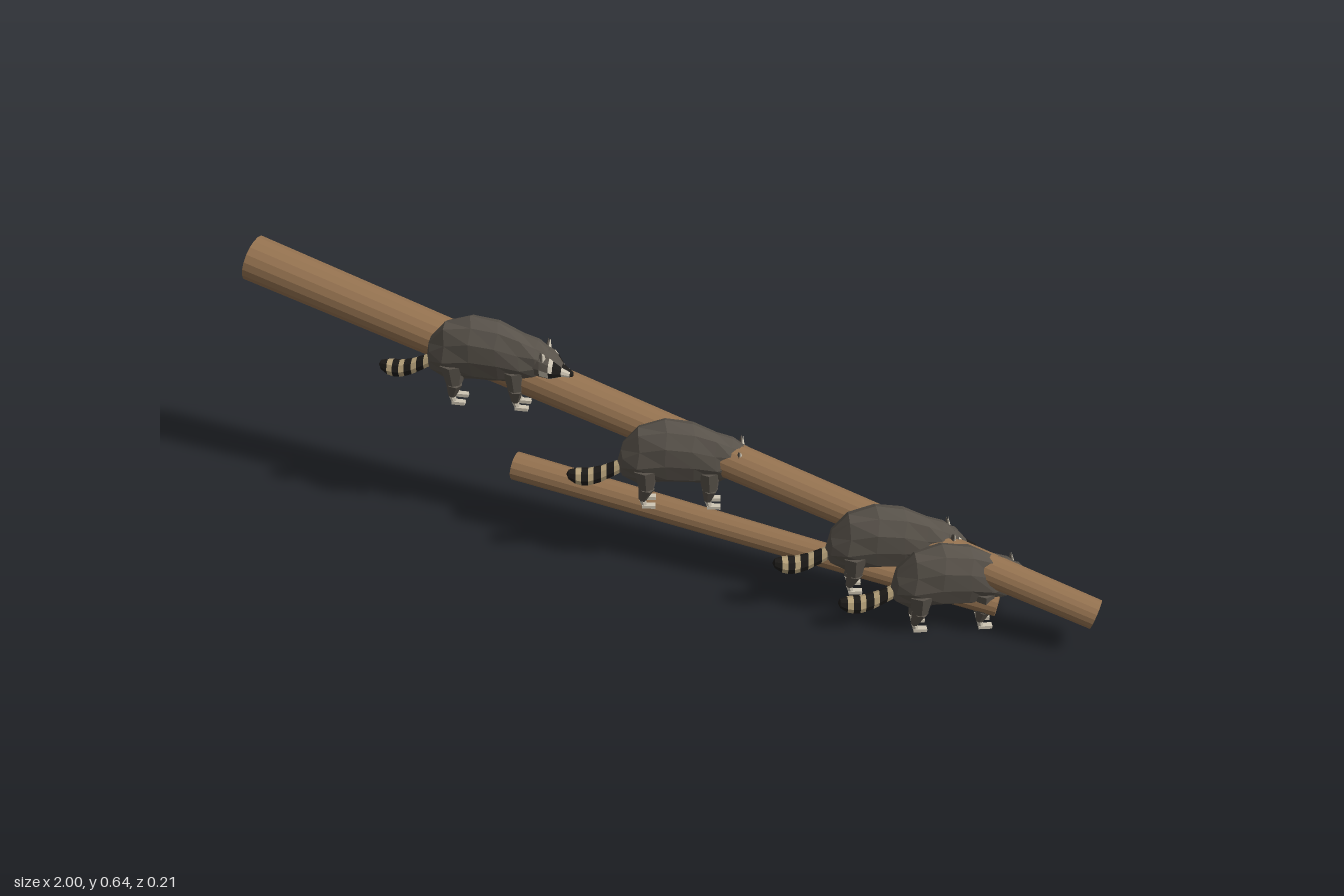
import * as THREE from 'three';

const mat = (name, color) => {
  const m = new THREE.MeshStandardMaterial({ color });
  m.name = name;
  return m;
};
const M = {
  wood: mat('log brown', 0x93714f),
  fur: mat('grey fur', 0x58524a),
  black: mat('black fur', 0x1d1b19),
  tan: mat('tail tan', 0xb9a47c),
  pale: mat('pale fur', 0xcfc6b4),
};

const V = (x, y, z) => new THREE.Vector3(x, y, z);
const flat = (g) => {
  const f = g.index ? g.toNonIndexed() : g;
  f.computeVertexNormals();
  return f;
};
const mesh = (name, geo, material) => {
  const m = new THREE.Mesh(flat(geo), material);
  m.name = name;
  return m;
};

// Tapered rod between two points
function rod(name, a, b, ra, rb, sides, material) {
  const d = b.clone().sub(a);
  const m = mesh(name, new THREE.CylinderGeometry(rb, ra, d.length(), sides), material);
  m.position.copy(a).add(b).multiplyScalar(0.5);
  m.quaternion.setFromUnitVectors(V(0, 1, 0), d.normalize());
  return m;
}

// Faceted skin over elliptical rings [x, y, halfHeight, halfWidth]; pick(ring, side) gives the colour
function loft(name, rings, sides, pick, wobble = 0) {
  const point = (i, j) => {
    const [x, y, h, w] = rings[i];
    const k = j % sides, a = (k / sides) * Math.PI * 2;
    const s = 1 + wobble * Math.sin(i * 2.3 + k * 3.1);
    return [x + wobble * h * Math.cos(k * 2.5 + i), y + h * s * Math.cos(a), w * s * Math.sin(a)];
  };
  const buckets = new Map();
  for (let i = 0; i < rings.length - 1; i++) {
    for (let j = 0; j < sides; j++) {
      const m = pick(i, Math.min(j, sides - 1 - j));
      if (!buckets.has(m)) buckets.set(m, []);
      const [a, b, c, d] = [point(i, j), point(i, j + 1), point(i + 1, j + 1), point(i + 1, j)];
      if (rings[i][2] > 0) buckets.get(m).push(...a, ...b, ...c);
      if (rings[i + 1][2] > 0) buckets.get(m).push(...a, ...c, ...d);
    }
  }
  const group = new THREE.Group();
  group.name = name;
  for (const [m, pos] of buckets) {
    const g = new THREE.BufferGeometry();
    g.setAttribute('position', new THREE.Float32BufferAttribute(pos, 3));
    group.add(mesh(`${name} ${m.name}`, g, m));
  }
  return group;
}

// Head pivots at the neck; its rings run from neck to nose
function makeHead() {
  const head = new THREE.Group();
  head.name = 'head';
  const skull = [
    [-0.03, 0.008, 0, 0], [-0.02, 0.006, 0.034, 0.03], [0.015, 0.006, 0.038, 0.037],
    [0.036, 0.001, 0.033, 0.037], [0.044, -0.003, 0.027, 0.032], [0.06, -0.011, 0.015, 0.017],
    [0.078, -0.018, 0.009, 0.009], [0.083, -0.018, 0.006, 0.006], [0.085, -0.018, 0, 0],
  ];
  head.add(loft('face', skull, 12, (i, k) => {
    if (i < 3) return i === 2 && k === 3 ? M.pale : M.fur;
    if (i === 3) return k === 0 ? M.fur : k < 3 ? M.pale : k < 4 ? M.black : M.pale;
    if (i === 4) return k === 0 ? M.fur : k < 4 ? M.black : M.pale;
    if (i === 5) return k === 0 ? M.black : M.pale;
    return M.black;
  }));
  for (const s of [-1, 1]) {
    const ear = new THREE.Group();
    ear.name = 'ear';
    const back = mesh('ear back', new THREE.ConeGeometry(0.013, 0.028, 4), M.fur);
    back.scale.x = 0.6;
    const inner = mesh('ear inside', new THREE.ConeGeometry(0.011, 0.025, 4), M.pale);
    inner.scale.x = 0.5;
    inner.position.set(0.004, -0.0005, 0);
    ear.add(back, inner);
    ear.position.set(0.02, 0.037, s * 0.027);
    ear.rotation.x = s * 0.45;
    head.add(ear);
  }
  return head;
}

function makeLeg(name, hip, knee, ankle, thick) {
  const leg = new THREE.Group();
  leg.name = name;
  const heel = V(ankle.x + 0.004, 0.005, ankle.z);
  leg.add(
    rod('upper leg', hip, knee, thick, 0.019, 7, M.fur),
    rod('lower leg', knee, ankle, 0.019, 0.009, 7, M.fur),
    rod('paw ankle', ankle, heel, 0.008, 0.006, 6, M.pale),
  );
  const paw = mesh('paw', new THREE.BoxGeometry(0.03, 0.008, 0.013), M.pale);
  paw.position.set(heel.x + 0.01, 0.004, heel.z);
  leg.add(paw);
  return leg;
}

// Faces +x and stands on y = 0
function makeRaccoon(headTurn) {
  const r = new THREE.Group();
  r.name = 'raccoon';
  const body = [
    [-0.143, 0.115, 0, 0], [-0.132, 0.12, 0.043, 0.027], [-0.095, 0.136, 0.074, 0.044],
    [-0.035, 0.146, 0.08, 0.049], [0.025, 0.141, 0.076, 0.047], [0.075, 0.131, 0.064, 0.042],
    [0.11, 0.131, 0.047, 0.035], [0.135, 0.13, 0.03, 0.025], [0.14, 0.13, 0, 0],
  ];
  r.add(loft('body', body, 11, () => M.fur, 0.045));
  // Ringed tail, drooping behind
  const tail = [
    [-0.257, 0.076, 0, 0], [-0.252, 0.075, 0.011, 0.01], [-0.236, 0.071, 0.019, 0.017],
    [-0.223, 0.07, 0.021, 0.019], [-0.208, 0.07, 0.021, 0.019], [-0.196, 0.073, 0.021, 0.018],
    [-0.179, 0.079, 0.02, 0.017], [-0.167, 0.085, 0.019, 0.016], [-0.15, 0.094, 0.018, 0.015],
    [-0.138, 0.101, 0.017, 0.014], [-0.11, 0.115, 0.016, 0.014],
  ];
  r.add(loft('tail', tail, 8, (i) => (i < 2 ? M.black : i > 8 ? M.fur : i % 2 ? M.black : M.tan)));
  for (const s of [-1, 1]) {
    r.add(
      makeLeg('rear leg', V(-0.08, 0.115, s * 0.023), V(-0.078, 0.062, s * 0.023), V(-0.087, 0.022, s * 0.016), 0.03),
      makeLeg('front leg', V(0.06, 0.11, s * 0.021), V(0.062, 0.06, s * 0.021), V(0.058, 0.022, s * 0.015), 0.026),
    );
  }
  const head = makeHead();
  head.position.set(0.107, 0.121, 0);
  head.rotation.y = headTurn;
  r.add(head);
  return r;
}

export function createModel() {
  const model = new THREE.Group();
  model.name = 'raccoons on logs';
  model.add(
    rod('main log', V(-0.987, 0.59, -0.027), V(0.99, 0.098, 0), 0.054, 0.034, 18, M.wood),
    rod('lower log', V(-0.35, 0.182, 0.01), V(0.78, 0.076, 0.012), 0.033, 0.025, 14, M.wood),
  );
  // x, y, z, body turn, extra head turn
  const places = [
    [-0.4, 0.345, 0.008, 0.16, -0.08],
    [0.055, 0.18, 0.018, 0.3, -0.08],
    [0.535, 0.065, 0.018, 0.36, 0.12],
    [0.685, 0, 0.018, 0.4, 0.15],
  ];
  for (const [x, y, z, turn, headTurn] of places) {
    const r = makeRaccoon(headTurn);
    r.position.set(x, y, z);
    r.rotation.y = turn;
    model.add(r);
  }
  return model;
}
